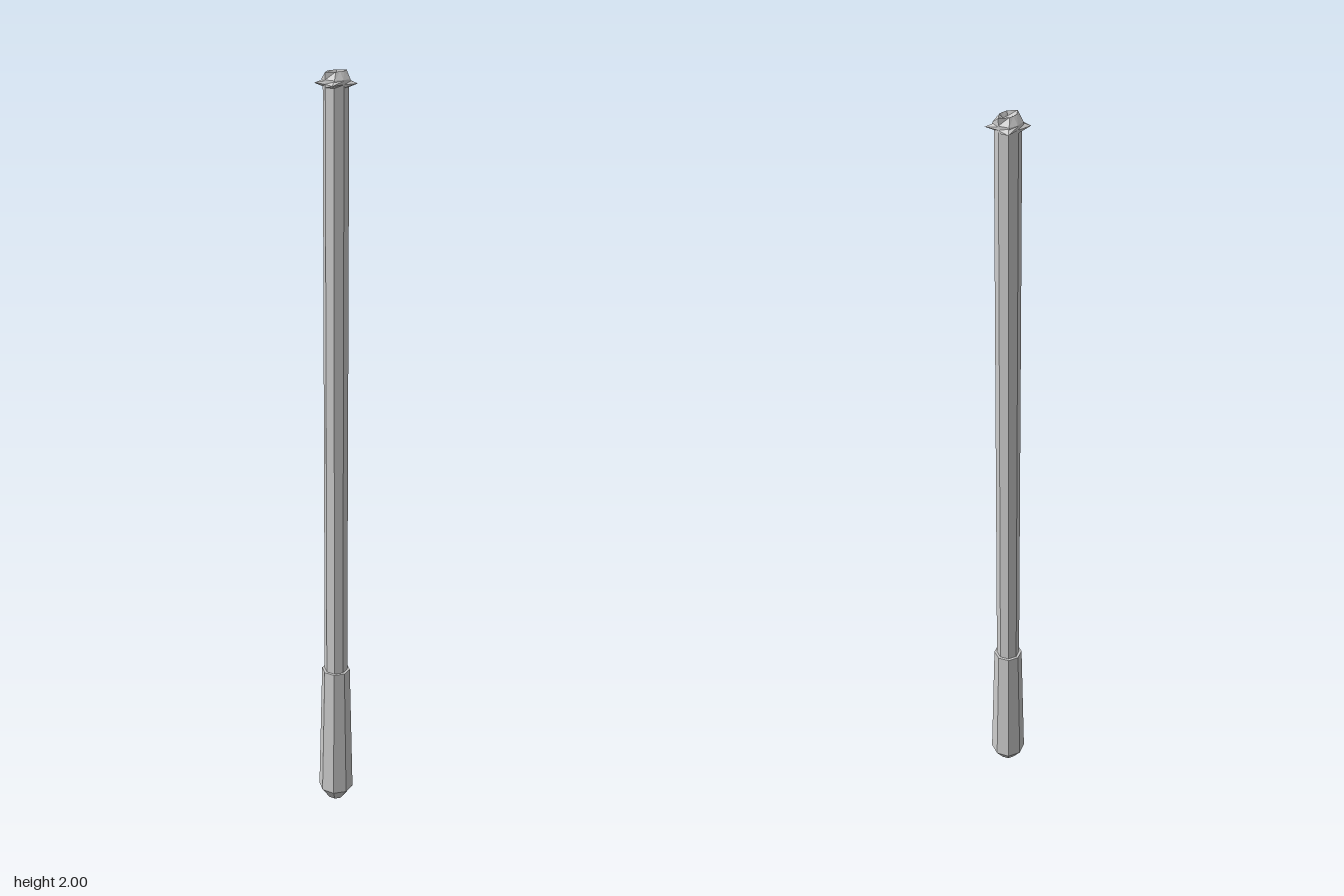
import * as THREE from 'three';

const material = new THREE.MeshStandardMaterial({ color: 0xcccccc, flatShading: true });

// Eight-sided ring: reach along x, reach along z, and the diagonal corner (dx, dz).
function ring(y, x, z = x, dx = x * Math.SQRT1_2, dz = z * Math.SQRT1_2) {
  return [[x, 0], [dx, dz], [0, z], [-dx, dz], [-x, 0], [-dx, -dz], [0, -z], [dx, -dz]]
    .map(([px, pz]) => [px, y, pz]);
}

// Skin a stack of rings from bottom to top and cap both ends.
function loft(name, rings) {
  const n = 8, positions = rings.flat(2), index = [];
  for (let r = 0; r < rings.length - 1; r++) {
    for (let i = 0; i < n; i++) {
      const a = r * n + i, b = r * n + (i + 1) % n;
      index.push(a, a + n, b, b, a + n, b + n);
    }
  }
  const top = (rings.length - 1) * n;
  for (let i = 1; i < n - 1; i++) {
    index.push(0, i, i + 1, top, top + i + 1, top + i);
  }
  const indexed = new THREE.BufferGeometry();
  indexed.setAttribute('position', new THREE.Float32BufferAttribute(positions, 3));
  indexed.setIndex(index);
  const geometry = indexed.toNonIndexed();
  geometry.computeVertexNormals();
  const mesh = new THREE.Mesh(geometry, material);
  mesh.name = name;
  return mesh;
}

export function createModel() {
  const model = new THREE.Group();
  model.name = 'rod';

  // Tapered grip with a chamfered butt
  model.add(loft('grip', [ring(0, 0.022), ring(0.035, 0.047), ring(0.41, 0.038)]));

  // Long slender shaft
  model.add(loft('shaft', [ring(0.4, 0.031), ring(1.975, 0.031)]));

  // Thin collar with four pointed corners
  model.add(loft('collar', [
    ring(1.964, 0.03, 0.03, 0.022, 0.022),
    ring(1.972, 0.031, 0.031, 0.037, 0.035),
    ring(1.98, 0.03, 0.03, 0.022, 0.022),
  ]));

  // Tip narrowing front to back, with a small square recess on top
  model.add(loft('tip', [
    ring(1.972, 0.031, 0.031, 0.023, 0.027),
    ring(1.982, 0.031, 0.029, 0.023, 0.025),
    ring(2, 0.031, 0.016, 0.012, 0.015),
    ring(1.99, 0.01, 0.01, 0.01, 0.01),
  ]));

  return model;
}
